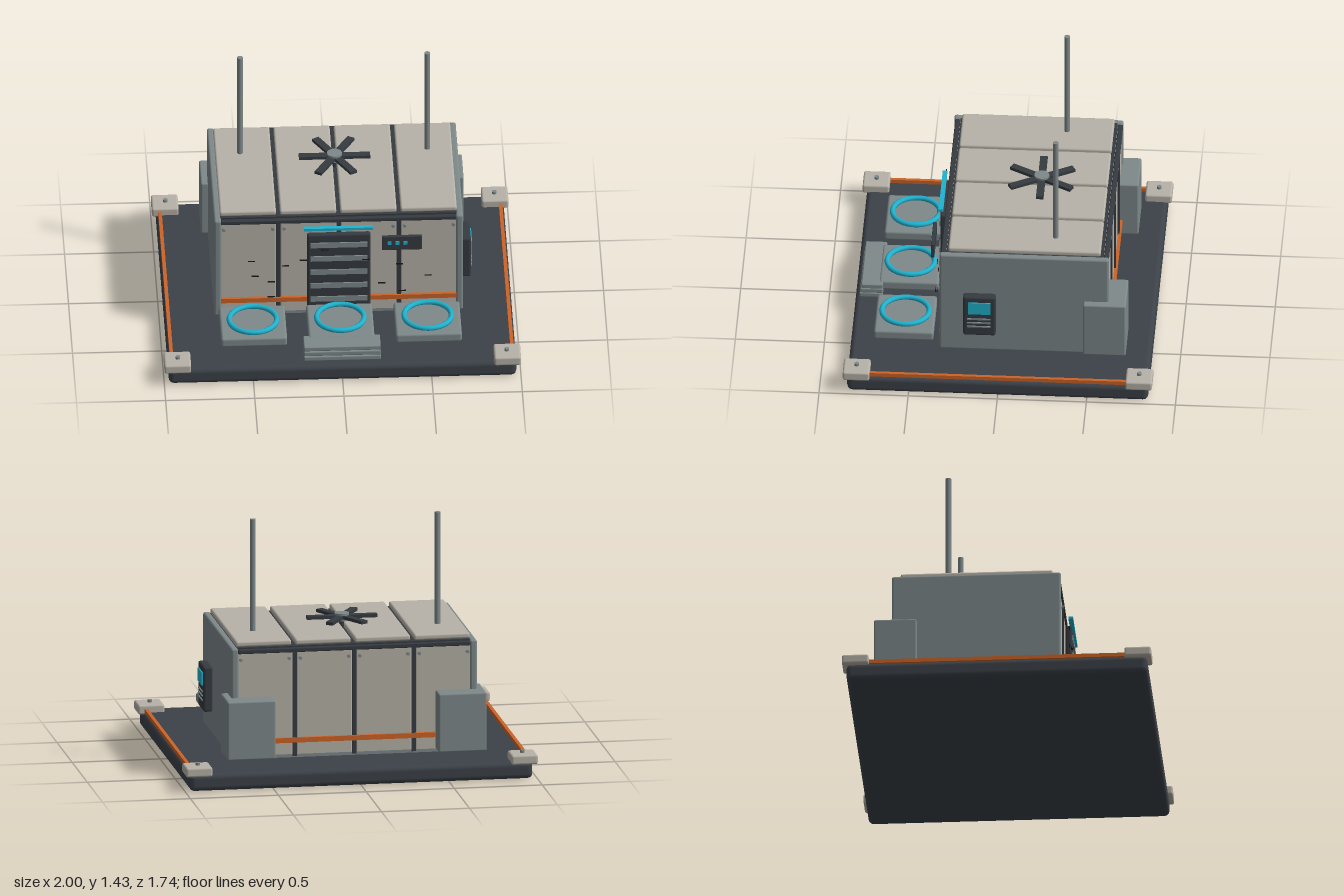
import * as THREE from 'three';
import { RoundedBoxGeometry } from 'three/addons/geometries/RoundedBoxGeometry.js';

const material = (name, color) => {
  const m = new THREE.MeshStandardMaterial({ color });
  m.name = name;
  return m;
};

export function createModel() {
  const model = new THREE.Group();
  model.name = 'outpost';
  const deckGrey = material('deck charcoal', 0x3c4249);
  const dark = material('dark trim', 0x363b41);
  const slate = material('slate metal', 0x7e898a);
  const cream = material('cream panel', 0xb7b2a8);
  const orange = material('orange stripe', 0xcc6428);
  const cyan = material('cyan light', 0x20b2ce);
  const black = material('scratch black', 0x15171a);

  const add = (name, geometry, mat, x, y, z, parent = model) => {
    const mesh = new THREE.Mesh(geometry, mat);
    mesh.name = name;
    mesh.position.set(x, y, z);
    parent.add(mesh);
    return mesh;
  };
  // Box given by its limits on each axis, with optional rounded edges
  const box = (name, mat, x0, x1, y0, y1, z0, z1, radius = 0) => {
    const size = [x1 - x0, y1 - y0, z1 - z0];
    const geometry = radius ? new RoundedBoxGeometry(...size, 2, radius) : new THREE.BoxGeometry(...size);
    return add(name, geometry, mat, (x0 + x1) / 2, (y0 + y1) / 2, (z0 + z1) / 2);
  };
  const cylinder = (name, mat, r, h, x, y, z, sides = 16) =>
    add(name, new THREE.CylinderGeometry(r, r, h, sides), mat, x, y, z);

  // Ground platform, side stripes and corner blocks
  box('deck', deckGrey, -0.975, 0.975, 0, 0.1, -0.845, 0.845, 0.03);
  for (const sx of [-1, 1]) {
    box('deckStripe', orange, sx * 0.955 - 0.01, sx * 0.955 + 0.01, 0.1, 0.122, -0.74, 0.74);
    for (const sz of [-1, 1]) {
      const x = sx * 0.925, z = sz * 0.793;
      box('cornerBlock', cream, x - 0.075, x + 0.075, 0.088, 0.143, z - 0.075, z + 0.075, 0.012);
      cylinder('cornerBolt', slate, 0.013, 0.02, sx * 0.922, 0.148, z, 12);
    }
  }

  // Cabin core and end walls
  box('cabinCore', dark, -0.665, 0.665, 0.13, 0.755, -0.575, 0.305);
  for (const s of [-1, 1]) {
    box('endWall', slate, s * 0.678 - 0.02, s * 0.678 + 0.02, 0.122, 0.757, -0.607, 0.342, 0.012);
  }

  // Roof plates and wall plates in four bays
  for (let i = 0; i < 4; i++) {
    const x = (i - 1.5) * 0.338;
    box('roofPlate', cream, x - 0.158, x + 0.158, 0.755, 0.788, -0.56, 0.295, 0.012);
    for (const [z0, z1, bolt] of [[0.3, 0.326, 0.328], [-0.596, -0.57, -0.598]]) {
      box('wallPlate', cream, x - 0.158, x + 0.158, 0.132, 0.73, z0, z1, 0.008);
      for (const s of [-1, 1]) {
        const b = cylinder('wallBolt', slate, 0.01, 0.014, x + s * 0.137, 0.69, bolt, 10);
        b.rotation.x = Math.PI / 2;
      }
    }
  }

  // Dark ribs, top rails and orange bands on both long walls
  for (const z of [0.322, -0.592]) {
    for (const x of [-0.338, 0, 0.338]) box('wallRib', dark, x - 0.012, x + 0.012, 0.13, 0.74, z - 0.014, z + 0.014);
    box('topRail', dark, -0.66, 0.66, 0.725, 0.75, z - 0.014, z + 0.014, 0.006);
    const bandZ = z > 0 ? 0.337 : -0.606;
    box('wallBand', orange, -0.66, 0.66, 0.208, 0.236, bandZ - 0.009, bandZ + 0.009);
    box('sillRail', slate, -0.66, 0.66, 0.122, 0.14, z - 0.01, z + 0.01);
  }

  // Slatted door with the light above it
  box('door', dark, -0.178, 0.178, 0.13, 0.668, 0.335, 0.37, 0.012);
  for (let i = 0; i < 6; i++) {
    const y = 0.6 - i * 0.09;
    box('doorSlat', slate, -0.16, 0.16, y - 0.016, y + 0.016, 0.366, 0.377);
  }
  box('doorLight', cyan, -0.195, 0.19, 0.7, 0.715, 0.352, 0.378);

  // Indicator box beside the door
  box('indicatorBox', dark, 0.24, 0.465, 0.577, 0.667, 0.385, 0.405, 0.004);
  for (const x of [0.283, 0.327, 0.371]) box('indicatorLamp', cyan, x - 0.011, x + 0.011, 0.615, 0.637, 0.403, 0.41);

  // Scratches in front of the wall
  const scratches = [[-0.49, 0.505], [-0.3, 0.47], [-0.47, 0.405], [-0.38, 0.365], [-0.2, 0.505], [-0.08, 0.57],
    [0.15, 0.5], [0.34, 0.465], [0.24, 0.34], [0.5, 0.385], [0.355, 0.285], [-0.38, 0.265]];
  for (const [x, y] of scratches) box('scratch', black, x - 0.02, x + 0.02, y - 0.003, y + 0.003, 0.374, 0.378);

  // Entry pads with glowing rings
  for (const x of [-0.49, 0, 0.49]) {
    box('pad', slate, x - 0.185, x + 0.185, 0.153, 0.211, 0.378, 0.712, 0.014);
    const ring = add('padRing', new THREE.TorusGeometry(0.133, 0.015, 10, 40), cyan, x, 0.228, 0.545);
    ring.rotation.x = Math.PI / 2;
  }
  for (const [y, z] of [[0.192, 0.81], [0.163, 0.815], [0.134, 0.82]]) {
    box('step', slate, -0.215, 0.215, y - 0.014, y + 0.014, 0.69, z, 0.006);
  }

  // Control panel on the left end wall
  box('controlPanel', dark, 0.695, 0.748, 0.252, 0.51, 0.025, 0.207, 0.012);
  box('controlScreen', cyan, 0.746, 0.755, 0.4, 0.476, 0.052, 0.18);
  for (const y of [0.365, 0.34, 0.315]) box('controlVent', slate, 0.746, 0.754, y - 0.004, y + 0.004, 0.052, 0.184);

  // Equipment boxes on the rear corners
  for (const s of [-1, 1]) {
    box('equipmentBox', slate, s * 0.6 - 0.137, s * 0.6 + 0.137, 0.138, 0.475, -0.705, -0.465, 0.01);
    cylinder('antenna', slate, 0.016, 0.65, s * 0.525, 1.105, -0.3);
  }

  // Roof fan
  const fan = new THREE.Group();
  fan.name = 'roofFan';
  fan.position.set(0, 0.825, -0.19);
  model.add(fan);
  for (let i = 0; i < 3; i++) {
    const blade = add('fanBlade', new THREE.BoxGeometry(0.4, 0.018, 0.042), dark, 0, 0, 0, fan);
    blade.rotation.y = i * Math.PI / 3;
  }
  add('fanHub', new THREE.CylinderGeometry(0.042, 0.042, 0.042, 20), slate, 0, 0, 0, fan);
  add('fanShaft', new THREE.CylinderGeometry(0.012, 0.012, 0.07, 12), dark, 0, -0.035, 0, fan);

  return model;
}
